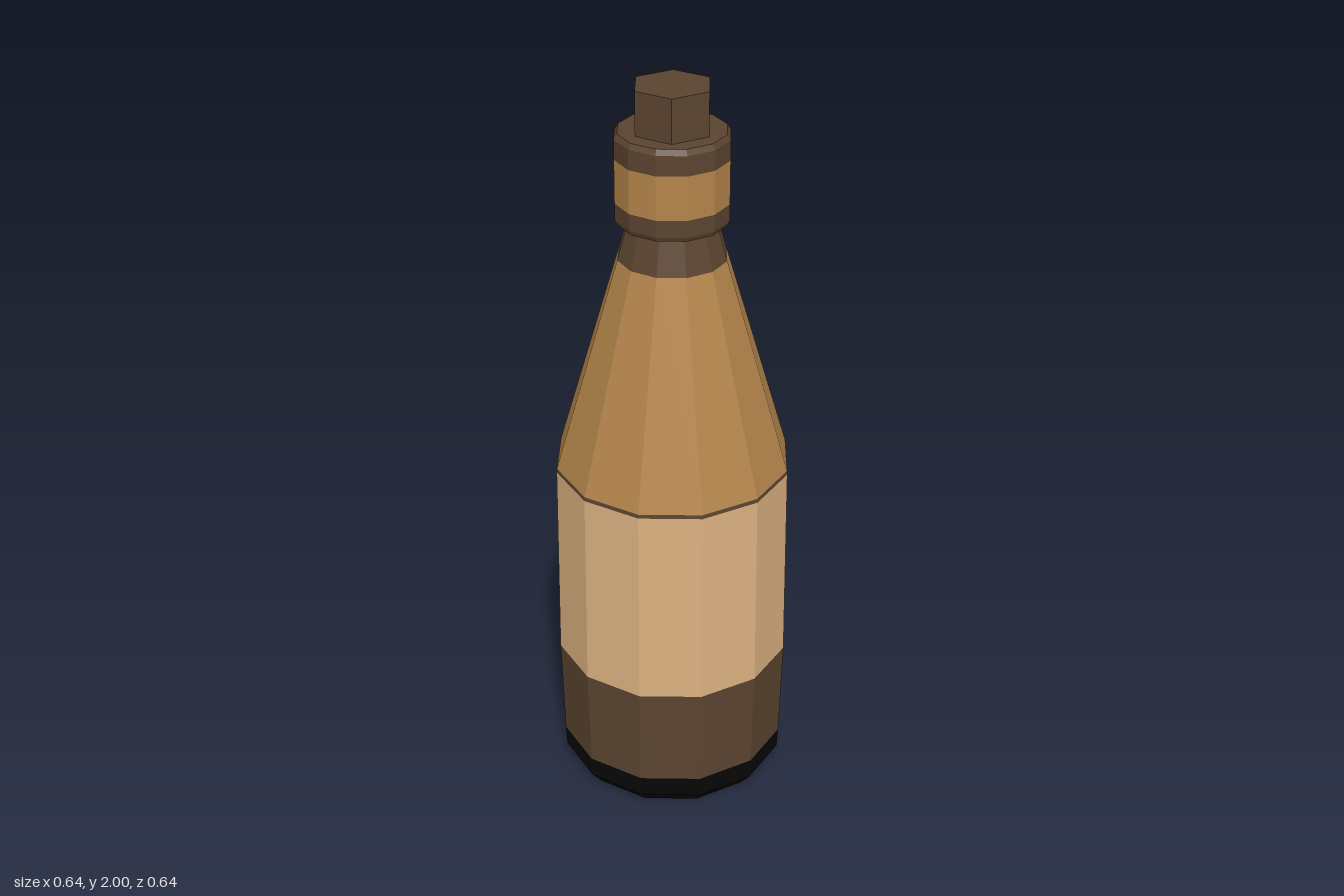
import * as THREE from 'three';

const SIDES = 12;

function material(name, color) {
  const m = new THREE.MeshStandardMaterial({ color, flatShading: true });
  m.name = name;
  return m;
}

export function createModel() {
  const black = material('black', 0x070707);
  const brown = material('dark brown', 0x5b4430);
  const amber = material('amber', 0xb4854b);
  const cream = material('label tan', 0xdbb181);

  const bottle = new THREE.Group();
  bottle.name = 'bottle';

  // One faceted band of the bottle; profile is [radius, height] from bottom to top
  function band(name, mat, profile) {
    const points = profile.map(([r, y]) => new THREE.Vector2(r, y));
    const mesh = new THREE.Mesh(new THREE.LatheGeometry(points, SIDES), mat);
    mesh.name = name;
    bottle.add(mesh);
  }

  // Body, from the bevelled base to the shoulder
  band('base', black, [[0, 0], [0.28, 0], [0.312, 0.04], [0.315, 0.1]]);
  band('lowerBody', brown, [[0.315, 0.1], [0.322, 0.39]]);
  band('label', cream, [[0.322, 0.39], [0.316, 0.953]]);
  band('shoulderLine', brown, [[0.316, 0.953], [0.315, 0.964]]);

  // Tapering neck
  band('neck', amber, [[0.315, 0.964], [0.143, 1.55]]);
  band('upperNeck', brown, [[0.143, 1.55], [0.115, 1.65]]);

  // Collar around the mouth
  band('collarBottom', brown, [[0.11, 1.648], [0.143, 1.648], [0.148, 1.66], [0.148, 1.705]]);
  band('collarBand', amber, [[0.148, 1.705], [0.148, 1.82]]);
  band('collarTop', brown, [[0.148, 1.82], [0.148, 1.872], [0.139, 1.886], [0, 1.886]]);

  // Six-sided cork, turned off the bottle's axes
  const cork = new THREE.Mesh(new THREE.CylinderGeometry(0.104, 0.104, 0.12, 6), brown);
  cork.name = 'cork';
  cork.position.y = 1.94;
  cork.rotation.y = Math.PI / 12;
  bottle.add(cork);

  return bottle;
}
